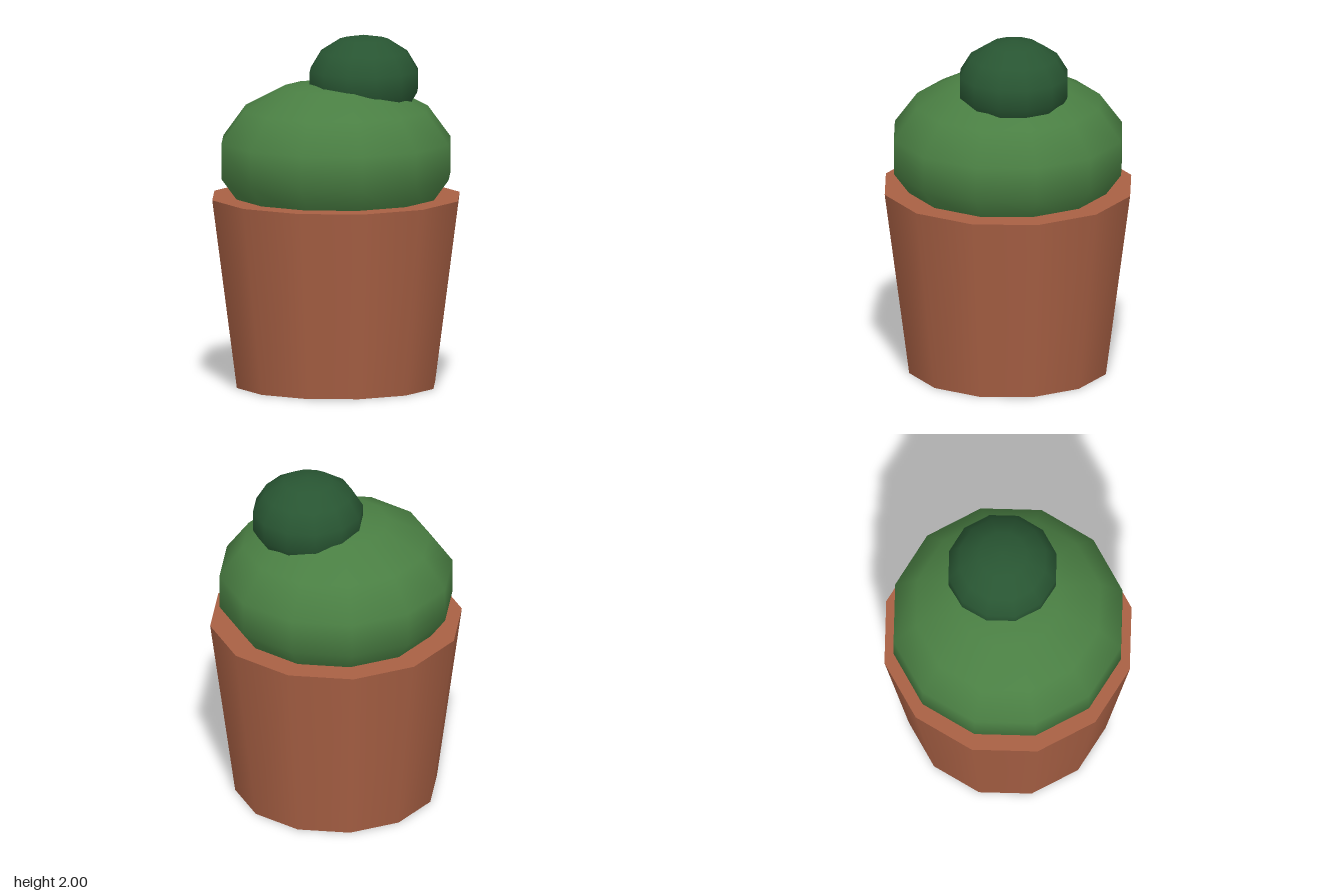
import * as THREE from 'three';

const SIDES = 12;

function part(name, geometry, color, x, y, z) {
  const mesh = new THREE.Mesh(geometry, new THREE.MeshStandardMaterial({ color }));
  mesh.name = name;
  mesh.position.set(x, y, z);
  return mesh;
}

// Squashed low-poly ball with smooth normals
function ball(radius, halfHeight) {
  return new THREE.SphereGeometry(radius, SIDES, 7).scale(1, halfHeight / radius, 1);
}

export function createModel() {
  const group = new THREE.Group();
  group.name = 'pottedCactus';

  // Tapered clay pot, closed at the top as soil level
  group.add(part('pot', new THREE.CylinderGeometry(0.72, 0.577, 1.08, SIDES), 0xa86044, 0, 0.54, 0));

  // Main cactus body, sunk into the pot
  group.add(part('cactusBody', ball(0.684, 0.45), 0x4a7f43, 0, 1.3, 0));

  // Small off-centre bud on top
  group.add(part('cactusBud', ball(0.323, 0.26), 0x285532, 0.142, 1.74, -0.075));

  return group;
}
